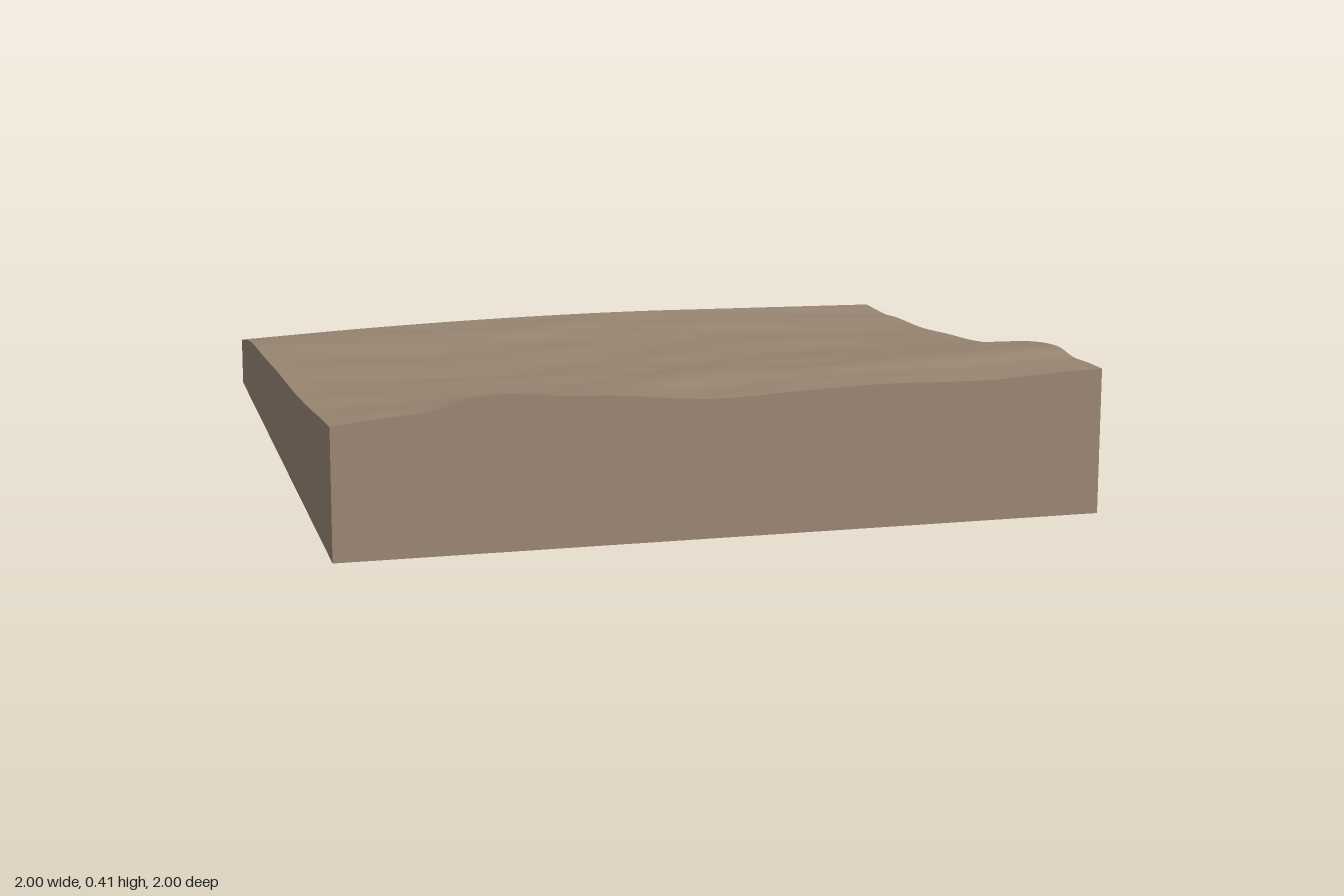
import * as THREE from 'three';

// Height profiles along the four edges, as [position, height] pairs
const FRONT = [[-1, .346], [-.9, .357], [-.76, .37], [-.7, .384], [-.64, .401], [-.58, .405], [-.5, .4],
  [-.4, .39], [-.3, .386], [-.2, .377], [-.1, .367], [0, .363], [.2, .371], [.4, .377], [.6, .373],
  [.7, .372], [.8, .377], [.9, .383], [1, .386]];
const BACK = [[-1, .135], [-.6, .152], [-.2, .162], [.2, .164], [.6, .157], [1, .149]];
const RIGHT = [[-1, .149], [-.8, .158], [-.7, .17], [-.5, .185], [-.4, .195], [-.2, .222], [0, .247],
  [.2, .28], [.3, .305], [.4, .33], [.5, .35], [.6, .367], [.7, .377], [.8, .372], [.9, .38], [1, .386]];
const LEFT = [[-1, .135], [-.75, .182], [-.4, .213], [0, .248], [.3, .27], [.6, .3], [.8, .324], [1, .346]];

// Smooth cubic interpolation through a profile
function sample(p, t) {
  let i = 0;
  while (i < p.length - 2 && t > p[i + 1][0]) i++;
  const slope = (k) => {
    const a = p[Math.max(k - 1, 0)], b = p[Math.min(k + 1, p.length - 1)];
    return (b[1] - a[1]) / (b[0] - a[0]);
  };
  const [x0, y0] = p[i], [x1, y1] = p[i + 1];
  const w = x1 - x0, u = (t - x0) / w, u2 = u * u, u3 = u2 * u;
  return y0 * (2 * u3 - 3 * u2 + 1) + y1 * (3 * u2 - 2 * u3)
    + w * (slope(i) * (u3 - 2 * u2 + u) + slope(i + 1) * (u3 - u2));
}

// Ground height: blend of the side profiles, edge detail fading inward, soft ripples
function height(x, z) {
  const u = (x + 1) / 2;
  const lerp = THREE.MathUtils.lerp;
  const base = lerp(sample(LEFT, z), sample(RIGHT, z), u);
  const front = sample(FRONT, x) - lerp(FRONT[0][1], FRONT.at(-1)[1], u);
  const back = sample(BACK, x) - lerp(BACK[0][1], BACK.at(-1)[1], u);
  const fade = Math.min(1, 6 * (1 - x * x)) * Math.min(1, 6 * (1 - z * z));
  const ripple = .0025 * Math.sin(5 * x + 13 * z + 2 * Math.sin(4 * x))
    + .0018 * Math.sin(9 * x - 17 * z + 1.5 * Math.sin(6 * z + 1));
  return base + front * Math.exp((z - 1) / .25) + back * Math.exp(-(z + 1) / .8) * (1 - z) / 2 + ripple * fade;
}

export function createModel() {
  const group = new THREE.Group();
  const earth = new THREE.MeshStandardMaterial({ color: 0x9b8774, side: THREE.DoubleSide });
  earth.name = 'earth brown';
  const N = 100;

  const add = (name, geometry) => {
    geometry.computeVertexNormals();
    const mesh = new THREE.Mesh(geometry, earth);
    mesh.name = name;
    group.add(mesh);
  };

  // Sloping ground surface
  const ground = new THREE.PlaneGeometry(2, 2, N, N).rotateX(-Math.PI / 2);
  const g = ground.attributes.position;
  for (let i = 0; i < g.count; i++) g.setY(i, height(g.getX(i), g.getZ(i)));
  add('groundSurface', ground);

  // Four skirt walls following the ground edge, open underneath
  const walls = {
    frontWall: (s) => [s, 1],
    rightWall: (s) => [-1, s],
    backWall: (s) => [-s, -1],
    leftWall: (s) => [1, -s],
  };
  for (const [name, place] of Object.entries(walls)) {
    const wall = new THREE.PlaneGeometry(2, 1, N, 1);
    const p = wall.attributes.position;
    for (let i = 0; i < p.count; i++) {
      const [x, z] = place(p.getX(i));
      p.setXYZ(i, x, p.getY(i) > 0 ? height(x, z) : 0, z);
    }
    add(name, wall);
  }
  return group;
}
